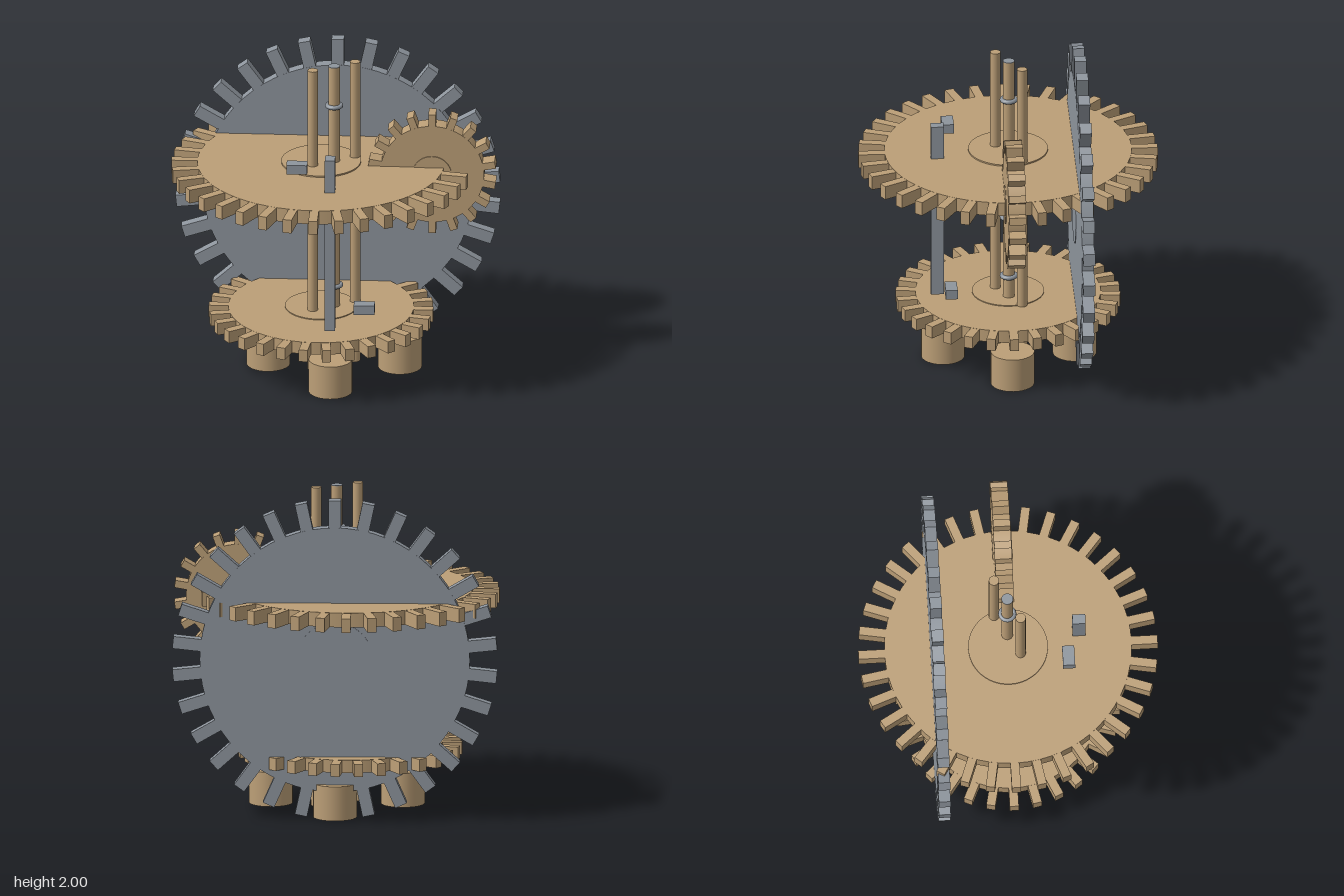
import * as THREE from 'three';

export function createModel() {
  const model = new THREE.Group();
  const wood = new THREE.MeshStandardMaterial({ color: 0xbc9f77 });
  wood.name = 'tan wood';
  const steel = new THREE.MeshStandardMaterial({ color: 0x8e959d });
  steel.name = 'grey steel';

  function add(parent, name, geometry, material, x = 0, y = 0, z = 0) {
    const mesh = new THREE.Mesh(geometry, material);
    mesh.name = name;
    mesh.position.set(x, y, z);
    parent.add(mesh);
    return mesh;
  }

  // Gear lying flat around the y axis: disc, hub and a ring of box teeth
  function makeGear(name, o) {
    const gear = new THREE.Group();
    gear.name = name;
    add(gear, 'disc', new THREE.CylinderGeometry(o.disc, o.disc, o.thick, 64), o.material);
    add(gear, 'hub', new THREE.CylinderGeometry(o.hub, o.hub, o.hubThick, 48), o.material);
    const inner = o.disc - 0.03;
    const tooth = new THREE.BoxGeometry(o.outer - inner, o.thick - 0.002, o.width);
    tooth.translate((o.outer + inner) / 2, 0, 0);
    for (let i = 0; i < o.teeth; i++) {
      const mesh = add(gear, 'tooth', tooth, o.material);
      mesh.rotation.y = (o.turn || 0) + (i / o.teeth) * Math.PI * 2;
    }
    model.add(gear);
    return gear;
  }

  // Horizontal gears
  makeGear('upperGear', {
    disc: 0.76, outer: 0.92, thick: 0.09, hub: 0.245, hubThick: 0.108,
    teeth: 36, width: 0.056, material: wood,
  }).position.set(-0.08, 1.312, 0);
  makeGear('lowerGear', {
    disc: 0.57, outer: 0.69, thick: 0.08, hub: 0.222, hubThick: 0.092,
    teeth: 30, width: 0.056, material: wood,
  }).position.set(-0.08, 0.351, 0);

  // Upright gears: large one behind, small one at the side
  const large = makeGear('largeBackGear', {
    disc: 0.83, outer: 1.0, thick: 0.075, hub: 0.235, hubThick: 0.082,
    teeth: 30, width: 0.076, turn: Math.PI / 30, material: steel,
  });
  large.rotation.x = Math.PI / 2;
  large.position.set(0, 1.0, -0.44);
  const small = makeGear('smallSideGear', {
    disc: 0.32, outer: 0.395, thick: 0.108, hub: 0.12, hubThick: 0.122,
    teeth: 18, width: 0.046, turn: Math.PI / 18, material: wood,
  });
  small.rotation.x = Math.PI / 2;
  small.position.set(0.605, 1.312, 0);

  // Vertical shafts, the middle one with a steel end and collars
  const sideShaft = new THREE.CylinderGeometry(0.032, 0.032, 2, 16);
  add(model, 'sideShaft', sideShaft, wood, -0.127, 1, 0.075);
  add(model, 'sideShaft', sideShaft, wood, 0.125, 1, -0.075);
  add(model, 'centreShaft', new THREE.CylinderGeometry(0.036, 0.036, 1.996, 20), wood, 0, 0.998, 0);
  add(model, 'shaftCap', new THREE.CylinderGeometry(0.036, 0.036, 0.004, 20), steel, 0, 1.998, 0);
  const collar = new THREE.TorusGeometry(0.042, 0.014, 10, 24).rotateX(Math.PI / 2);
  for (let i = 0; i < 5; i++) add(model, 'collar', collar, steel, 0, 0.135 + i * 0.4, 0);

  // Front bar with its two offset pallets
  add(model, 'frontBar', new THREE.BoxGeometry(0.062, 1.14, 0.08), steel, 0, 1.002, 0.441);
  const pallet = new THREE.BoxGeometry(0.128, 0.06, 0.074);
  add(model, 'upperPallet', pallet, steel, -0.208, 1.472, 0.366);
  add(model, 'lowerPallet', pallet, steel, 0.206, 0.541, 0.366);

  // Four round feet
  const foot = new THREE.CylinderGeometry(0.135, 0.135, 0.215, 32);
  for (let i = 0; i < 4; i++) {
    const a = (i * Math.PI) / 2;
    add(model, 'foot', foot, wood, 0.405 * Math.cos(a), 0.1085, 0.405 * Math.sin(a));
  }
  return model;
}
